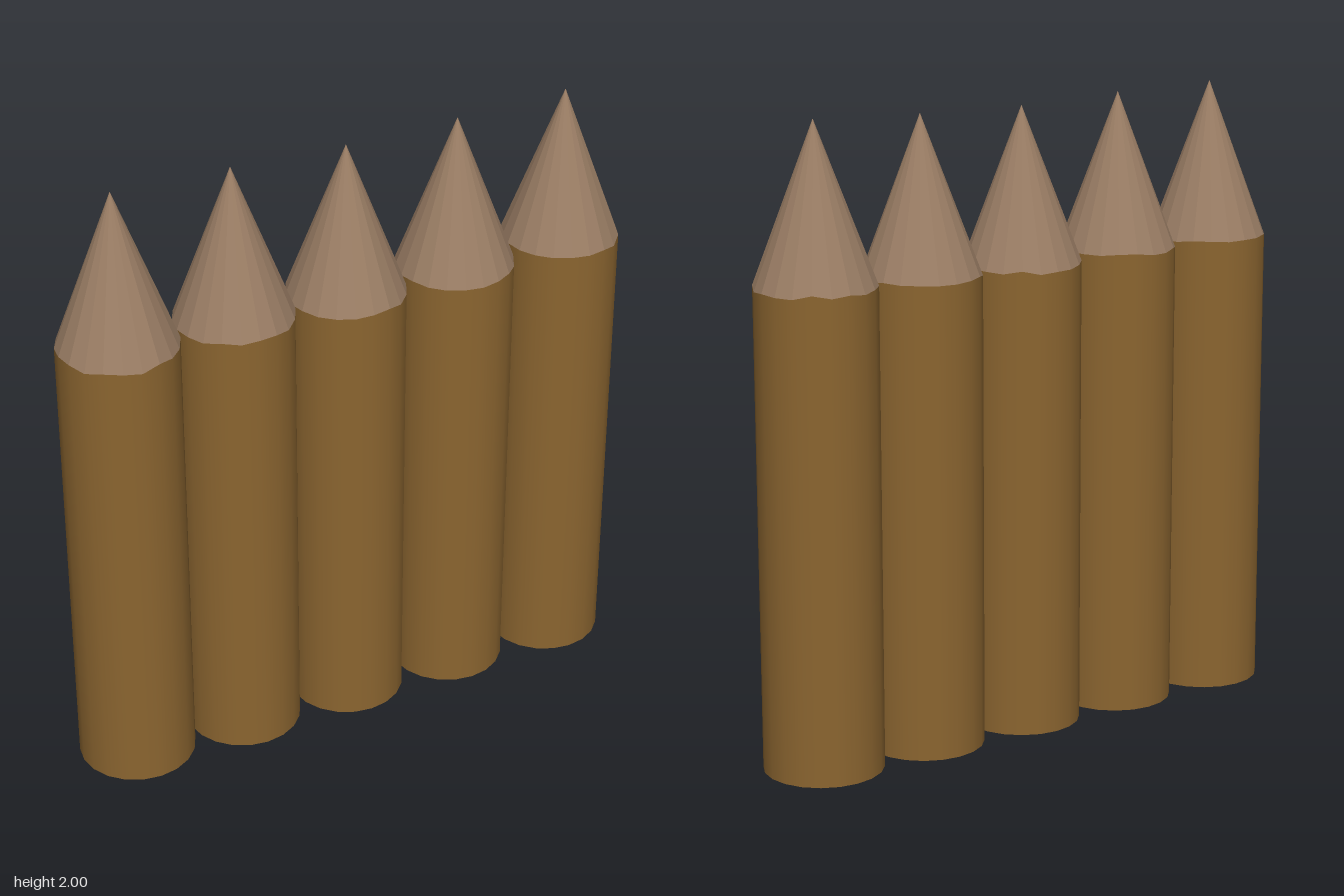
import * as THREE from 'three';

const RADIUS = 0.187, SIDES = 20, SPACING = 0.3785;

export function createModel() {
  const bark = new THREE.MeshStandardMaterial({ color: 0x8b6530 });
  bark.name = 'brown bark';
  const cutWood = new THREE.MeshStandardMaterial({ color: 0x9b7e65, flatShading: true });
  cutWood.name = 'pale cut wood';

  // Small seeded generator for the uneven hand-cut rim
  let seed = 7;
  const random = () => (seed = (seed * 16807) % 2147483647) / 2147483647;

  // Shift rim vertices up or down; both ends of the seam share an offset
  const roughenRim = (geometry, rimY, offsets) => {
    const p = geometry.attributes.position;
    for (let i = 0; i < p.count; i++) {
      if (Math.abs(p.getY(i) - rimY) > 1e-4) continue;
      const turn = Math.atan2(p.getX(i), p.getZ(i)) / (Math.PI * 2) + 1;
      p.setY(i, rimY + offsets[Math.round(turn * SIDES) % SIDES]);
    }
    return geometry;
  };

  const model = new THREE.Group();
  model.name = 'palisade';
  const tips = [2, 1.992, 1.978, 1.983, 1.996];
  const rims = [1.5, 1.497, 1.487, 1.49, 1.5];

  tips.forEach((tip, i) => {
    const rim = rims[i];
    const offsets = Array.from({ length: SIDES }, () => (random() - 0.5) * 0.014);
    const stake = new THREE.Group();
    stake.name = `stake${i + 1}`;
    const add = (name, geometry, material) => {
      const mesh = new THREE.Mesh(geometry, material);
      mesh.name = name;
      stake.add(mesh);
    };

    // Smooth round trunk
    const trunk = new THREE.CylinderGeometry(RADIUS, RADIUS, rim, SIDES, 1, true).translate(0, rim / 2, 0);
    add('trunk', roughenRim(trunk, rim, offsets), bark);

    // Faceted sharpened point
    const point = new THREE.ConeGeometry(RADIUS, tip - rim, SIDES, 1, true).translate(0, (tip + rim) / 2, 0);
    add('point', roughenRim(point, rim, offsets), cutWood);

    // Sawn underside
    add('sawnBase', new THREE.CircleGeometry(RADIUS, SIDES).rotateX(Math.PI / 2), cutWood);

    stake.position.x = (i - 2) * SPACING;
    model.add(stake);
  });
  return model;
}
